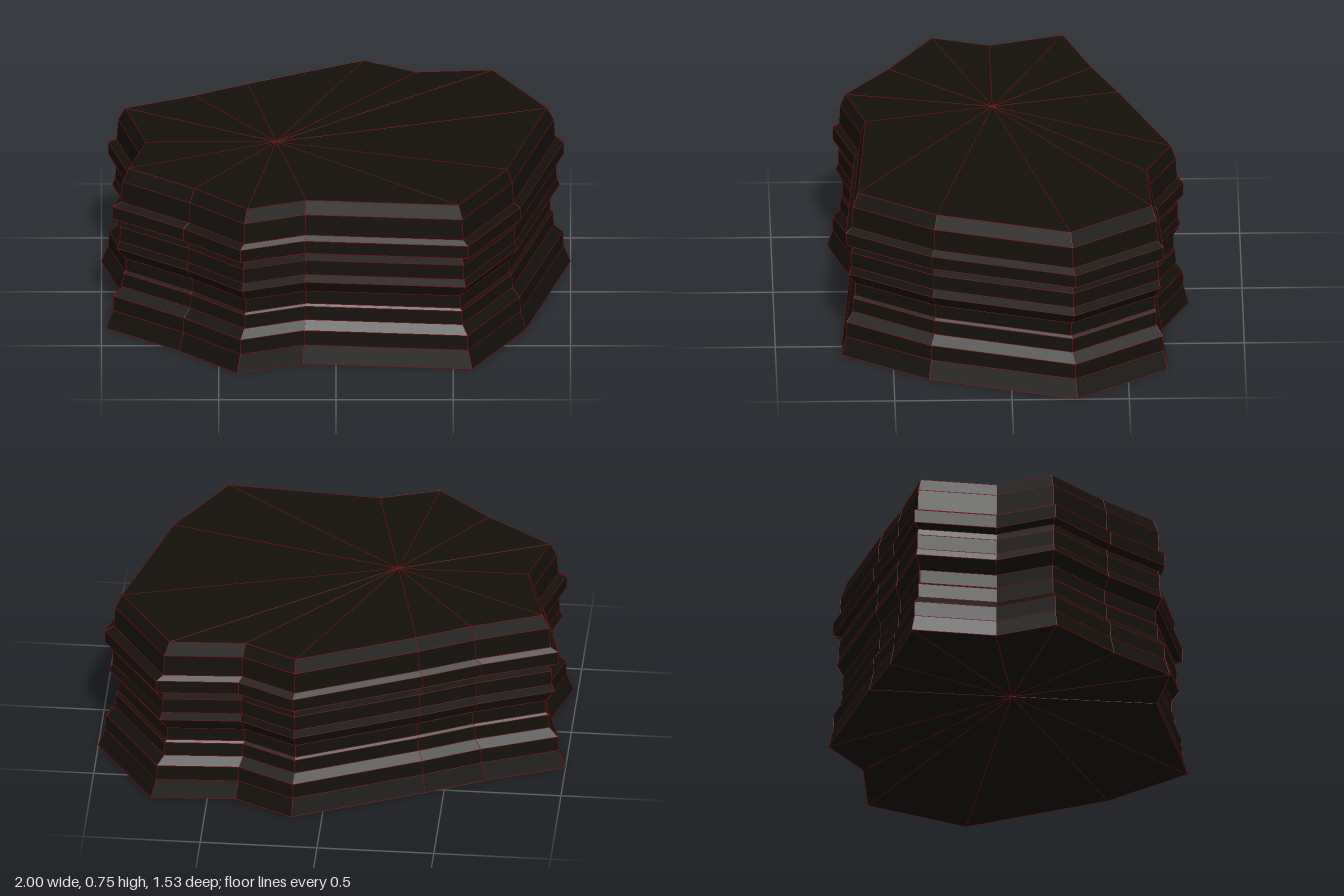
import * as THREE from 'three';
import { mergeGeometries } from 'three/addons/utils/BufferGeometryUtils.js';

// Ground outline (x, z), clockwise seen from above
const OUTLINE = [
  [0.13, -0.77], [0.38, -0.65], [0.74, -0.67], [1.0, -0.28], [0.81, 0.35],
  [0.58, 0.72], [-0.14, 0.67], [-0.42, 0.76], [-0.67, 0.55], [-0.98, 0.34],
  [-0.9, 0.07], [-1.0, -0.28], [-0.67, -0.41], [-0.42, -0.53],
];

// Strata: height and scale of the outline at each ring
const LAYERS = [
  [0, 1], [0.08, 0.97], [0.148, 0.967], [0.187, 0.928], [0.25, 0.925],
  [0.26, 0.913], [0.32, 0.913], [0.375, 0.953], [0.408, 0.94], [0.475, 0.938],
  [0.505, 0.928], [0.52, 0.97], [0.578, 0.97], [0.595, 0.934], [0.69, 0.928], [0.75, 0.9],
];

const N = OUTLINE.length;
const rings = LAYERS.map(([y, s]) => OUTLINE.map(([x, z]) => new THREE.Vector3(x * s, y, z * s)));
const bottomCentre = new THREE.Vector3(-0.28, 0, 0.065);
const topCentre = new THREE.Vector3(-0.255, 0.75, 0.06);

// Stacked rings closed by a fan above and below
function slabGeometry() {
  const corners = [];
  const top = rings[rings.length - 1];
  for (let i = 0; i < N; i++) {
    const j = (i + 1) % N;
    for (let k = 0; k < rings.length - 1; k++) {
      const lower = rings[k], upper = rings[k + 1];
      corners.push(lower[i], upper[i], lower[j], lower[j], upper[i], upper[j]);
    }
    corners.push(topCentre, top[j], top[i]);
    corners.push(bottomCentre, rings[0][i], rings[0][j]);
  }
  const geometry = new THREE.BufferGeometry().setFromPoints(corners);
  geometry.computeVertexNormals();
  return geometry;
}

// Hair-thin rod between two points
function seam(a, b) {
  const dir = b.clone().sub(a);
  const rod = new THREE.CylinderGeometry(0.0016, 0.0016, dir.length(), 4, 1, true);
  const turn = new THREE.Quaternion().setFromUnitVectors(new THREE.Vector3(0, 1, 0), dir.normalize());
  const mid = a.clone().add(b).multiplyScalar(0.5);
  return rod.applyQuaternion(turn).translate(mid.x, mid.y, mid.z);
}

export function createModel() {
  const group = new THREE.Group();
  group.name = 'layeredRock';

  const rock = new THREE.Mesh(
    slabGeometry(),
    new THREE.MeshStandardMaterial({ color: 0x14100c, flatShading: true }),
  );
  rock.name = 'rockBody';
  group.add(rock);

  // Red seams along the strata, the corners and the cap spokes
  const rods = [];
  for (let i = 0; i < N; i++) {
    rings.forEach((ring, k) => {
      rods.push(seam(ring[i], ring[(i + 1) % N]));
      if (k > 0) rods.push(seam(rings[k - 1][i], ring[i]));
    });
    rods.push(seam(topCentre, rings[rings.length - 1][i]));
    rods.push(seam(bottomCentre, rings[0][i]));
  }
  const seams = new THREE.Mesh(
    mergeGeometries(rods),
    new THREE.MeshStandardMaterial({ color: 0x7a0c0a }),
  );
  seams.name = 'redSeams';
  group.add(seams);

  return group;
}
